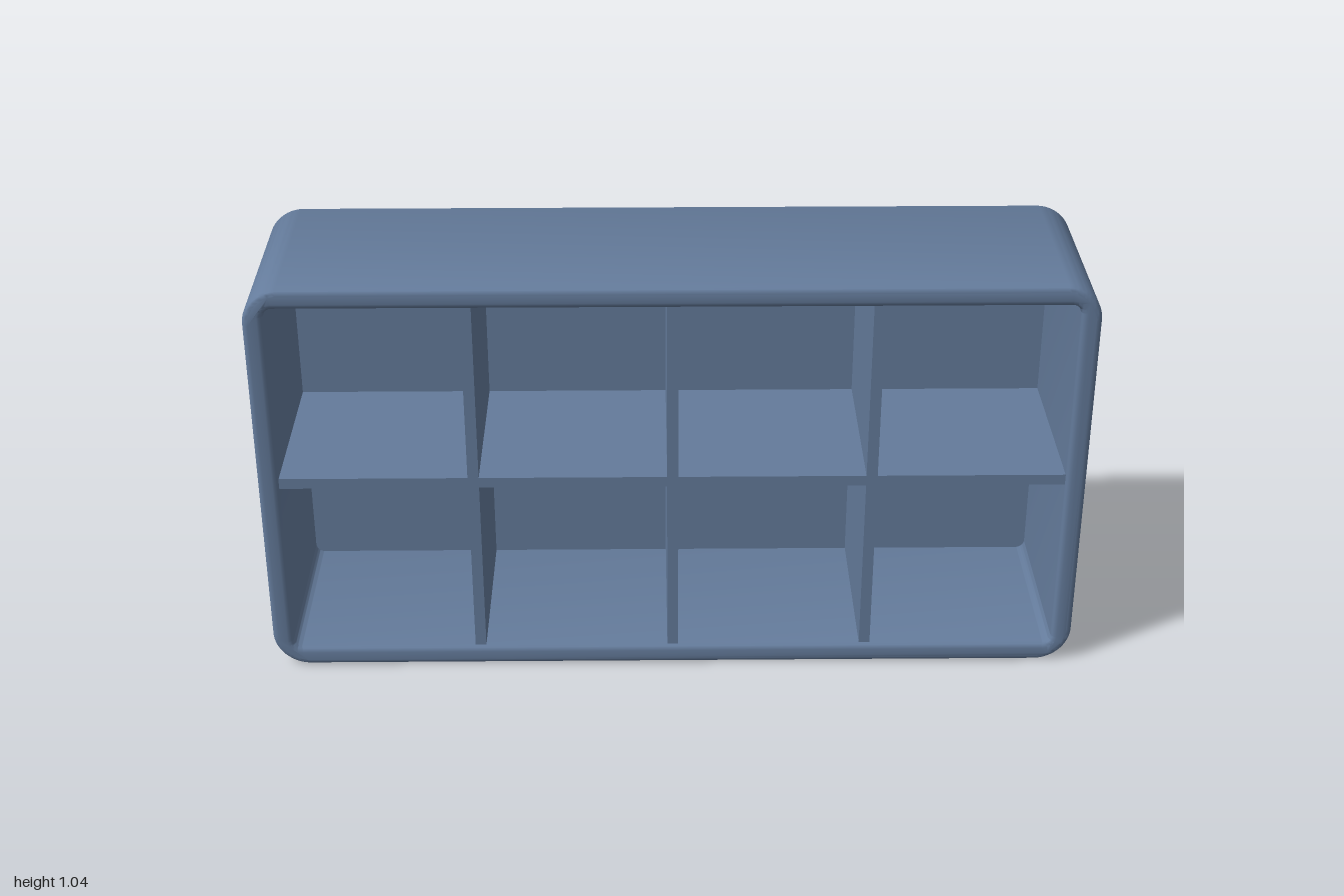
import * as THREE from 'three';
import { toCreasedNormals } from 'three/addons/utils/BufferGeometryUtils.js';

const W = 2, H = 1.038, D = 0.488;   // overall size
const WALL = 0.05, BOARD = 0.027, BEVEL = 0.014;
const FRONT = 0.232, BACK = -0.218;  // depth range of the compartments

// Rounded rectangle centred on the origin
function roundedRect(target, w, h, r) {
  const x = w / 2, y = h / 2;
  target.moveTo(-x + r, -y);
  target.lineTo(x - r, -y);
  target.absarc(x - r, -y + r, r, -Math.PI / 2, 0);
  target.lineTo(x, y - r);
  target.absarc(x - r, y - r, r, 0, Math.PI / 2);
  target.lineTo(-x + r, y);
  target.absarc(-x + r, y - r, r, Math.PI / 2, Math.PI);
  target.lineTo(-x, -y + r);
  target.absarc(-x + r, -y + r, r, Math.PI, Math.PI * 1.5);
  return target;
}

export function createModel() {
  const group = new THREE.Group();
  group.name = 'wallShelf';
  const blue = new THREE.MeshStandardMaterial({ color: 0x647b9b });
  blue.name = 'slateBlue';

  const add = (name, geometry, x, y, z) => {
    const mesh = new THREE.Mesh(geometry, blue);
    mesh.name = name;
    mesh.position.set(x, y, z);
    group.add(mesh);
  };

  const innerW = W - 2 * WALL, innerH = H - 2 * WALL, midY = H / 2;

  // Outer frame: rounded tube with softened front and back rims
  const ring = roundedRect(new THREE.Shape(), W - 2 * BEVEL, H - 2 * BEVEL, 0.09 - BEVEL);
  ring.holes.push(roundedRect(new THREE.Path(), innerW + 2 * BEVEL, innerH + 2 * BEVEL, 0.022 + BEVEL));
  const frame = new THREE.ExtrudeGeometry(ring, {
    depth: D - 2 * BEVEL, curveSegments: 10,
    bevelEnabled: true, bevelSize: BEVEL, bevelThickness: BEVEL, bevelSegments: 4,
  });
  add('frame', toCreasedNormals(frame, 0.6), 0, midY, -D / 2 + BEVEL);

  // Back panel, set slightly inside the rear rim
  const panel = roundedRect(new THREE.Shape(), innerW + 0.01, innerH + 0.01, 0.02);
  add('backPanel', new THREE.ExtrudeGeometry(panel, { depth: 0.012, bevelEnabled: false }), 0, midY, BACK - 0.012);

  // Middle shelf
  const depth = FRONT - BACK, midZ = (FRONT + BACK) / 2;
  add('middleShelf', new THREE.BoxGeometry(innerW + 0.01, BOARD, depth), 0, midY, midZ);

  // Upright dividers, three in each row
  const rowH = (innerH - BOARD) / 2;
  const pitch = (innerW + BOARD) / 4;
  for (const row of [-1, 1]) {
    for (const column of [-1, 0, 1]) {
      add(row > 0 ? 'upperDivider' : 'lowerDivider', new THREE.BoxGeometry(BOARD, rowH + 0.004, depth),
        column * pitch, midY + row * (BOARD + rowH) / 2, midZ);
    }
  }
  return group;
}
